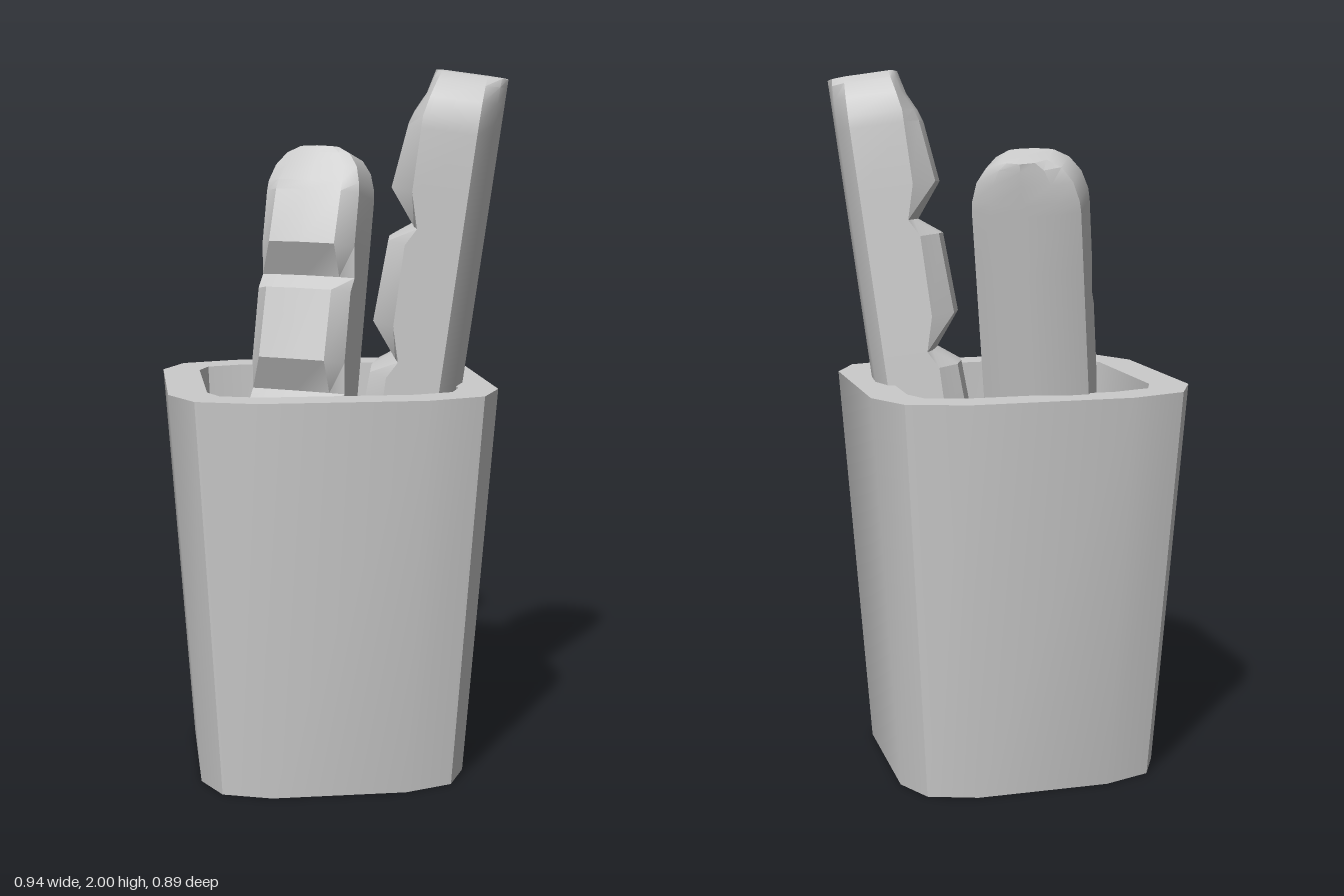
import * as THREE from 'three';
import { toCreasedNormals } from 'three/addons/utils/BufferGeometryUtils.js';

const material = new THREE.MeshStandardMaterial({ color: 0xcccccc });

// Skin a list of rings (counter-clockwise from above) and close both ends
function loft(rings) {
  const n = rings[0].length;
  const pos = rings.flat(2);
  const index = [];
  for (let i = 0; i < rings.length - 1; i++) {
    for (let j = 0; j < n; j++) {
      const a = i * n + j, b = i * n + (j + 1) % n;
      index.push(a, b, b + n, a, b + n, a + n);
    }
  }
  const last = (rings.length - 1) * n;
  for (const start of [0, last]) {
    const ring = rings[start / n];
    const c = pos.length / 3;
    for (let k = 0; k < 3; k++) pos.push(ring.reduce((sum, p) => sum + p[k], 0) / n);
    for (let j = 0; j < n; j++) {
      const a = start + j, b = start + (j + 1) % n;
      if (start === 0) index.push(c, b, a);
      else index.push(c, a, b);
    }
  }
  const geo = new THREE.BufferGeometry();
  geo.setAttribute('position', new THREE.Float32BufferAttribute(pos, 3));
  geo.setIndex(index);
  return toCreasedNormals(geo, 0.6);
}

// Bevelled rounded-square outline: half sizes ax, az; corner point mx, mz; ends of the flats fx, fz
function squareRing(y, [ax, az, mx, mz, fx, fz], s = 1) {
  const quarter = [[ax, fz], [mx, mz], [fx, az]];
  const back = [...quarter].reverse();
  return [
    ...quarter.map(([x, z]) => [x, y, -z]),
    ...back.map(([x, z]) => [-x, y, -z]),
    ...quarter.map(([x, z]) => [-x, y, z]),
    ...back.map(([x, z]) => [x, y, z]),
  ].map(([x, h, z]) => [x * s, h, z * s]);
}

function makeCup() {
  const outer = [0.457, 0.435, 0.392, 0.38, 0.228, 0.25];
  const inner = [0.35, 0.327, 0.32, 0.292, 0.21, 0.22];
  const cup = new THREE.Mesh(loft([
    squareRing(0, outer, 0.828),
    squareRing(1.125, outer),
    squareRing(1.125, inner),
    squareRing(0.42, inner, 0.915),
  ]), material);
  cup.name = 'cup';
  cup.position.set(-0.023, 0, 0.016);
  return cup;
}

// Handle with a round top, a curved back and notched grip pads on its front
function makeHandle(name, top, front, lean, scale) {
  const W = 0.147;
  // distance below the top, width factor, depth of the front
  const levels = [
    [0, 0.42, 0.185], [0.02, 0.68, 0.19], [0.06, 0.88, 0.2],
    [0.11, 0.98, 0.225], [0.14, 1, 0.235], [0.3, 1, 0.255],
  ];
  for (let i = 0; i < 3; i++) {
    const s = 0.39 + i * 0.345;
    levels.push([s, 1, 0.185], [s + 0.045, 1, 0.245], [s + 0.255, 1, 0.255]);
  }
  levels.push([1.4, 1, 0.2]);

  const rings = levels.reverse().map(([s, k, p]) => {
    const h = W * k, side = Math.min(0.19, p - 0.02);
    return [
      [h, 0.05], [0.6 * h, 0.015], [0, 0], [-0.6 * h, 0.015], [-h, 0.05],
      [-h, side], [-0.7 * h, p - 0.008], [0, p], [0.7 * h, p - 0.008], [h, side],
    ].map(([u, w]) => [u * scale, -s * scale, w * scale]);
  });
  const handle = new THREE.Mesh(loft(rings), material);
  handle.name = name;

  // Axes: up follows the lean, z points out of the grip side
  const up = new THREE.Vector3(lean[0], 1, lean[1]).normalize();
  const f = new THREE.Vector3(front[0], 0, front[1]);
  f.addScaledVector(up, -f.dot(up)).normalize();
  const across = new THREE.Vector3().crossVectors(up, f);
  handle.quaternion.setFromRotationMatrix(new THREE.Matrix4().makeBasis(across, up, f));
  handle.position.set(...top);
  return handle;
}

export function createModel() {
  const group = new THREE.Group();
  group.name = 'cupWithHandles';
  group.add(
    makeCup(),
    makeHandle('shortHandle', [0.072, 1.75, -0.422], [-0.46, 0.88], [0.11, -0.18], 1),
    makeHandle('tallHandle', [0.46, 1.97, 0.212], [-0.965, -0.26], [0.12, 0.09], 1.08),
  );
  return group;
}
